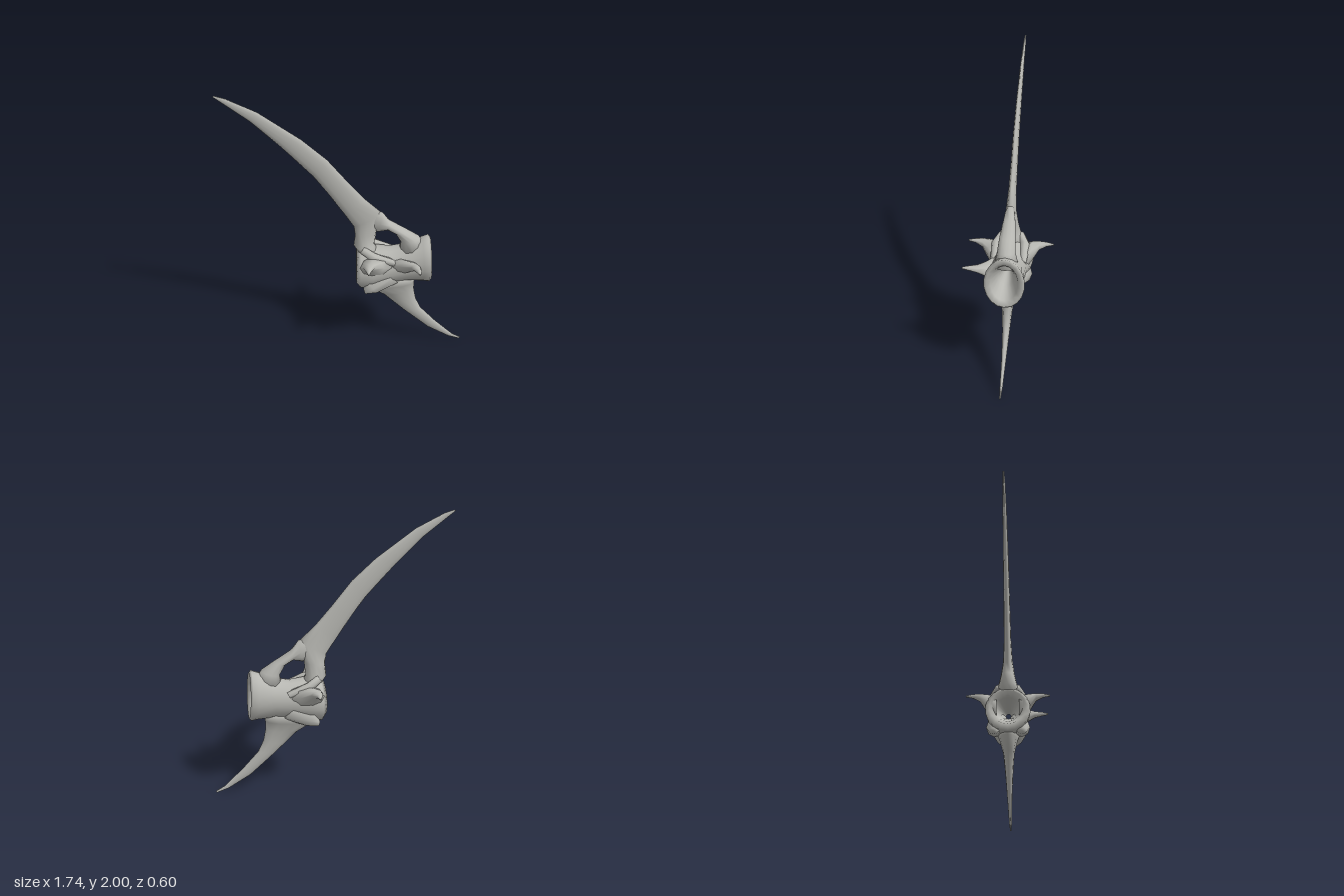
import * as THREE from 'three';
import { mergeVertices } from 'three/addons/utils/BufferGeometryUtils.js';

const bone = new THREE.MeshStandardMaterial({ color: 0xb7b7b2 });
bone.name = 'bone grey';

// Skins a row of oval sections { c: centre, u, v: half axes }, with optional end caps
function loft(name, sections, sides = 12, caps = true) {
  const s = sections.map(({ c, u, v }) => ({
    c: new THREE.Vector3(...c), u: new THREE.Vector3(...u), v: new THREE.Vector3(...v),
  }));
  const along = s[1].c.clone().sub(s[0].c);
  const flip = s[0].u.clone().cross(s[0].v).dot(along) < 0 ? -1 : 1;
  const pos = [], index = [];
  for (const { c, u, v } of s) {
    for (let j = 0; j < sides; j++) {
      const a = (j / sides) * Math.PI * 2;
      const p = c.clone().addScaledVector(u, Math.cos(a)).addScaledVector(v, flip * Math.sin(a));
      pos.push(p.x, p.y, p.z);
    }
  }
  for (let i = 0; i < s.length - 1; i++) {
    for (let j = 0; j < sides; j++) {
      const a = i * sides + j, b = i * sides + (j + 1) % sides;
      index.push(a, b, a + sides, b, b + sides, a + sides);
    }
  }
  if (caps) {
    const first = pos.length / 3, last = (s.length - 1) * sides;
    pos.push(...s[0].c.toArray(), ...s[s.length - 1].c.toArray());
    for (let j = 0; j < sides; j++) {
      const k = (j + 1) % sides;
      index.push(first, k, j, first + 1, last + j, last + k);
    }
  }
  let geo = new THREE.BufferGeometry();
  geo.setAttribute('position', new THREE.Float32BufferAttribute(pos, 3));
  geo.setIndex(index);
  geo = mergeVertices(geo, 1e-5);
  geo.computeVertexNormals();
  const mesh = new THREE.Mesh(geo, bone);
  mesh.name = name;
  return mesh;
}

// Section of an upright blade: two edge points in the xy plane and a half thickness
const blade = (ax, ay, bx, by, t) => ({
  c: [(ax + bx) / 2, (ay + by) / 2, 0],
  u: [(bx - ax) / 2, (by - ay) / 2, 0],
  v: [0, 0, t],
});

// Section of a sideways spike: centre and half sizes in x and y
const spike = (x, y, z, rx, ry) => ({ c: [x, y, z], u: [rx, 0, 0], v: [0, ry, 0] });

export function createModel() {
  const model = new THREE.Group();
  model.name = 'vertebra';

  // Long upper spine, running down into the rear pillar of the arch
  model.add(loft('upperSpine', [
    blade(-0.87, 1.992, -0.862, 2.0, 0.005),
    blade(-0.82, 1.955, -0.79, 1.98, 0.009),
    blade(-0.64, 1.82, -0.59, 1.885, 0.014),
    blade(-0.45, 1.64, -0.31, 1.69, 0.019),
    blade(-0.24, 1.42, -0.14, 1.54, 0.022),
    blade(-0.15, 1.3, 0.0, 1.37, 0.024),
    blade(-0.04, 1.14, 0.12, 1.235, 0.027),
    blade(0.04, 1.02, 0.235, 1.13, 0.035),
    blade(0.05, 0.95, 0.2, 0.97, 0.05),
    blade(0.04, 0.865, 0.19, 0.87, 0.07),
    blade(0.1, 0.79, 0.24, 0.78, 0.1),
  ]));

  // Front bar of the arch, closing the side window
  model.add(loft('archBar', [
    blade(0.14, 1.0, 0.19, 1.15, 0.028),
    blade(0.21, 0.975, 0.24, 1.135, 0.036),
    blade(0.28, 0.995, 0.29, 1.065, 0.046),
    blade(0.335, 0.965, 0.41, 0.99, 0.055),
    blade(0.375, 0.89, 0.51, 0.93, 0.062),
    blade(0.36, 0.81, 0.56, 0.84, 0.085),
  ]));

  // Hollow body: outer skin, front rim, front cup, narrow hole, rear cup
  const body = [
    [0.06, 0.69, 0.125, 0.13], [0.09, 0.685, 0.16, 0.16], [0.18, 0.69, 0.16, 0.155],
    [0.3, 0.7, 0.14, 0.125], [0.42, 0.72, 0.145, 0.119], [0.54, 0.745, 0.175, 0.13],
    [0.582, 0.75, 0.185, 0.137], [0.597, 0.75, 0.168, 0.12], [0.575, 0.75, 0.135, 0.092],
    [0.46, 0.735, 0.075, 0.055], [0.33, 0.72, 0.017, 0.02], [0.12, 0.695, 0.09, 0.09],
    [0.06, 0.69, 0.125, 0.13],
  ];
  model.add(loft('body', body.map(([x, y, ry, rz]) => ({
    c: [x, y, 0], u: [x > 0.5 ? -0.008 : 0, ry, 0], v: [0, 0, rz],
  })), 18, false));

  // Curved lower spine
  model.add(loft('lowerSpine', [
    blade(0.14, 0.58, 0.5, 0.61, 0.09),
    blade(0.12, 0.515, 0.487, 0.54, 0.065),
    blade(0.26, 0.435, 0.487, 0.48, 0.042),
    blade(0.34, 0.36, 0.505, 0.39, 0.033),
    blade(0.42, 0.285, 0.545, 0.305, 0.026),
    blade(0.61, 0.12, 0.66, 0.18, 0.016),
    blade(0.77, 0.03, 0.8, 0.05, 0.01),
    blade(0.855, 0.002, 0.865, 0.015, 0.005),
  ]));

  for (const side of [1, -1]) {
    const label = side > 0 ? 'front' : 'back';
    // Side spike at the rear of the body
    model.add(loft(label + 'SideSpike', [
      spike(0.22, 0.72, side * 0.08, 0.15, 0.11),
      spike(0.17, 0.76, side * 0.15, 0.085, 0.065),
      spike(0.145, 0.795, side * 0.2, 0.04, 0.027),
      spike(0.14, 0.805, side * 0.25, 0.02, 0.014),
      spike(0.14, 0.805, side * 0.3, 0.006, 0.006),
    ], 8));
    // Flange at the lower rear corner
    model.add(loft(label + 'LowerFlange', [
      { c: [0.31, 0.65, side * 0.06], u: [0.06, -0.07, 0], v: [0, 0, 0.06] },
      { c: [0.18, 0.58, side * 0.1], u: [0.04, -0.055, 0], v: [0, 0, 0.055] },
      { c: [0.12, 0.535, side * 0.1], u: [0.01, -0.02, 0], v: [0, 0, 0.035] },
    ], 8));
    // Ridge from the rear pillar down to the side of the body
    model.add(loft(label + 'Ridge', [
      { c: [0.1, 0.86, side * 0.06], u: [0.015, 0.025, 0], v: [0, 0, 0.03] },
      { c: [0.18, 0.82, side * 0.1], u: [0.015, 0.03, 0], v: [0, 0, 0.035] },
      { c: [0.33, 0.77, side * 0.1], u: [0.01, 0.02, 0], v: [0, 0, 0.025] },
    ], 8));
  }

  // Single extra spike on the front side
  model.add(loft('forwardSpike', [
    spike(0.36, 0.73, 0.08, 0.12, 0.07),
    spike(0.43, 0.765, 0.14, 0.065, 0.045),
    spike(0.475, 0.79, 0.19, 0.035, 0.024),
    spike(0.49, 0.8, 0.25, 0.02, 0.014),
    spike(0.495, 0.802, 0.29, 0.008, 0.007),
  ], 8));

  return model;
}
